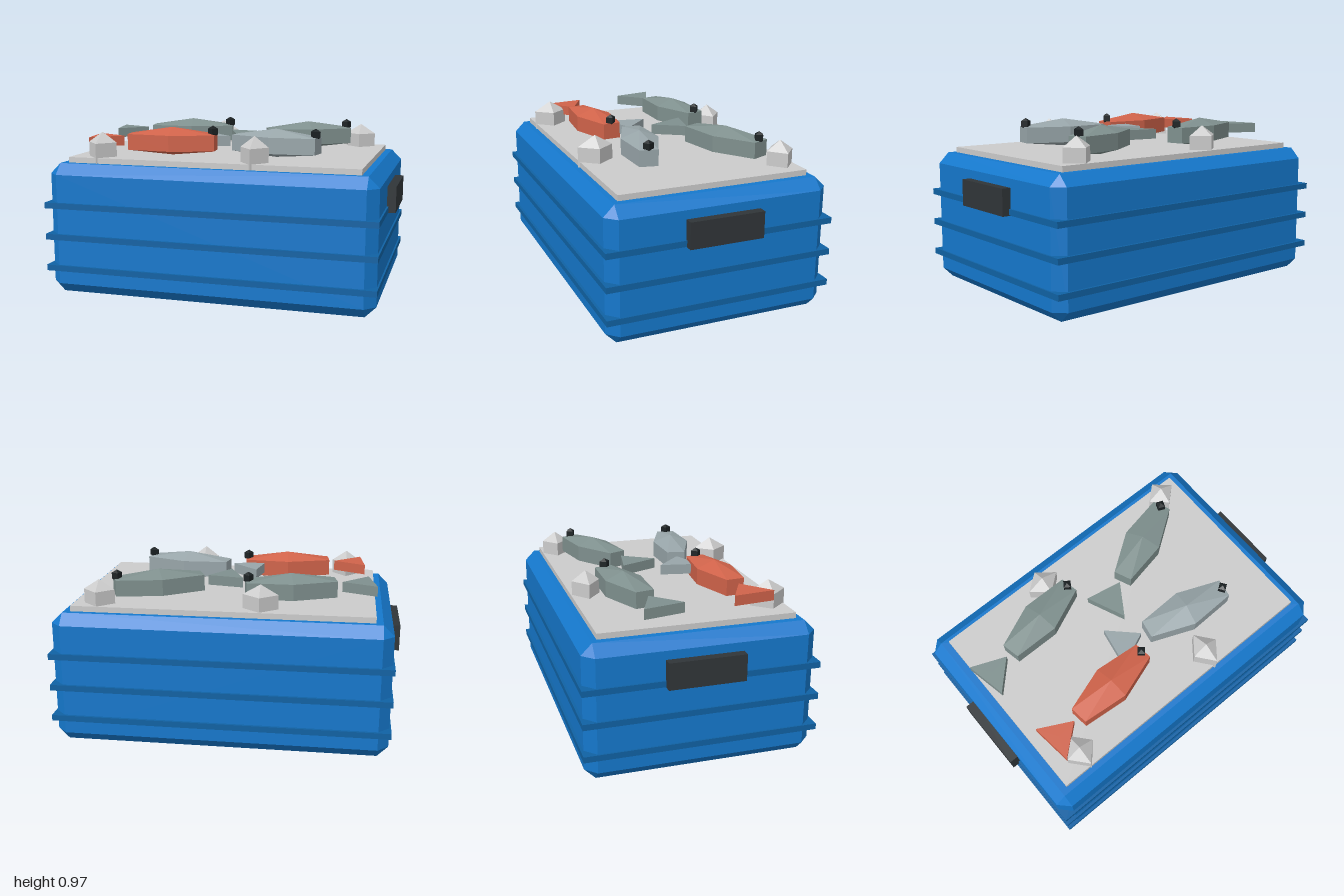
import * as THREE from 'three';
import { ConvexGeometry } from 'three/addons/geometries/ConvexGeometry.js';

const mat = (color) => new THREE.MeshStandardMaterial({ color, flatShading: true });
const blue = mat(0x1578cc), darkBlue = mat(0x1062a4), black = mat(0x303538), eyeBlack = mat(0x1c2224);
const slabGrey = mat(0xd2d3d6), iceWhite = mat(0xe6e6e8);

function add(parent, name, geometry, material, x = 0, y = 0, z = 0) {
  const mesh = new THREE.Mesh(geometry, material);
  mesh.name = name;
  mesh.position.set(x, y, z);
  parent.add(mesh);
  return mesh;
}

// Box with every edge chamfered by c
function chamferBox(hx, hy, hz, c) {
  const points = [];
  for (const x of [-1, 1]) for (const y of [-1, 1]) for (const z of [-1, 1]) {
    points.push(
      new THREE.Vector3(x * hx, y * (hy - c), z * (hz - c)),
      new THREE.Vector3(x * (hx - c), y * hy, z * (hz - c)),
      new THREE.Vector3(x * (hx - c), y * (hy - c), z * hz));
  }
  return new ConvexGeometry(points);
}

// Faceted fish body: square ends, wide ridged middle, pointing along +x
function fishBody() {
  const points = [];
  for (const [x, w] of [[-0.259, 0.053], [0, 0.108], [0.259, 0.053]])
    for (const y of [-0.048, 0.045]) for (const s of [-1, 1]) points.push(new THREE.Vector3(x, y, s * w));
  points.push(new THREE.Vector3(0, 0.087, 0), new THREE.Vector3(0, -0.077, 0));
  return new ConvexGeometry(points);
}

// Triangular tail fin with its tip toward the body
function fishTail() {
  const g = new THREE.CylinderGeometry(1, 1, 0.058, 3);
  g.rotateY(Math.PI / 2);
  return g.scale(0.118, 1, 0.138);
}

function makeFish(color, x, z, turn) {
  const fish = new THREE.Group();
  fish.name = 'fish';
  const skin = mat(color);
  add(fish, 'fishBody', fishBody(), skin);
  add(fish, 'fishTail', fishTail(), skin, -0.414);
  add(fish, 'fishEye', new THREE.SphereGeometry(0.034, 4, 3), eyeBlack, 0.243, 0.064, 0);
  fish.position.set(x, 0.875, z);
  fish.rotation.y = turn;
  return fish;
}

export function createModel() {
  const model = new THREE.Group();
  model.name = 'fishCooler';

  // Cooler tub
  add(model, 'tub', chamferBox(0.95, 0.3825, 0.64, 0.061), blue, 0, 0.3825, 0);
  for (const y of [0.155, 0.34, 0.525])
    add(model, 'band', new THREE.BoxGeometry(1.92, 0.034, 1.31), darkBlue, 0, y, 0);
  for (const s of [-1, 1])
    add(model, s > 0 ? 'leftHandle' : 'rightHandle', new THREE.BoxGeometry(0.06, 0.15, 0.426), black, s * 0.97, 0.58, 0);

  // Bed of ice
  add(model, 'iceBed', new THREE.BoxGeometry(1.7, 0.057, 1.095), slabGrey, 0, 0.7685, 0);

  // Loose ice chunks: x, z, radii
  for (const [x, z, rx, ry, rz] of [
    [-0.675, 0.455, 0.1, 0.12, 0.115], [0.24, 0.455, 0.094, 0.124, 0.118],
    [-0.215, -0.46, 0.115, 0.116, 0.093], [0.7, -0.465, 0.103, 0.116, 0.093],
  ]) {
    const chunk = new THREE.SphereGeometry(1, 4, 3).scale(rx, ry, rz);
    add(model, 'iceChunk', chunk, iceWhite, x, 0.82, z);
  }

  // Fish: colour, x, z, turn
  for (const f of [
    [0xd0634a, -0.307, 0.28, 0.116], [0x7f908e, -0.37, -0.28, 0.204],
    [0x7f908e, 0.396, -0.28, 0.407], [0x98a5a9, 0.305, 0.212, -0.18],
  ]) model.add(makeFish(...f));

  return model;
}
